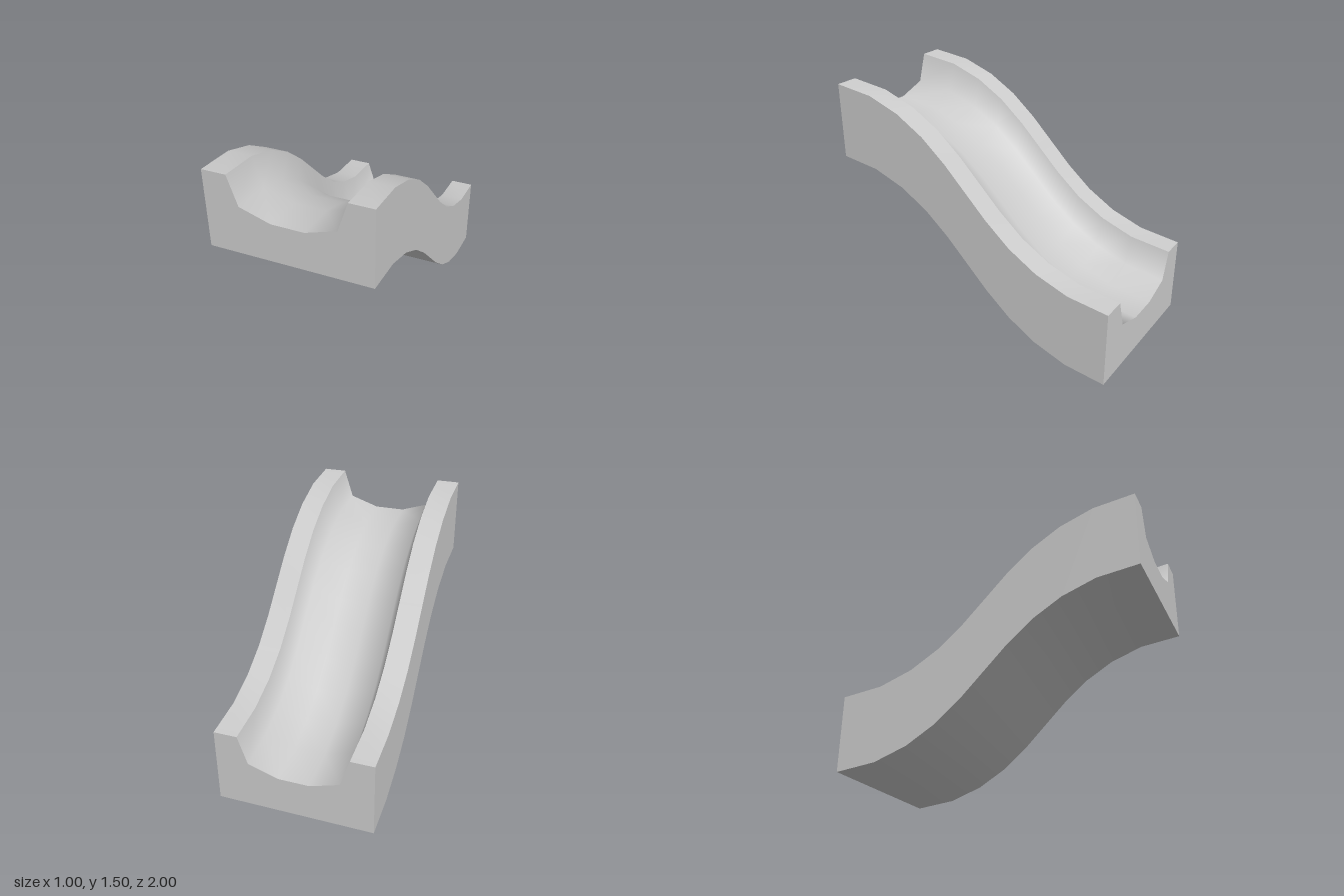
import * as THREE from 'three';
import { toCreasedNormals } from 'three/addons/utils/BufferGeometryUtils.js';

// Half of the S-shaped slope as [z, rise above middle]; the other half is its point mirror
const HALF = [[0, 0], [0.15, 0.147], [0.32, 0.287], [0.51, 0.397], [0.73, 0.472], [1, 0.5]];
const PATH = [...HALF.slice(1).reverse().map(([z, y]) => [-z, -y]), ...HALF];

// Right half of the trough in the cross-section, from rim to floor
const TROUGH = [[0.35, 0.5], [0.29, 0.313], [0.1, 0.25]];

export function createModel() {
  const group = new THREE.Group();
  group.name = 'slide';

  // Block cross-section with the trough cut into its top
  const section = new THREE.Shape([
    [-0.5, 0], [0.5, 0], [0.5, 0.5],
    ...TROUGH,
    ...TROUGH.map(([x, y]) => [-x, y]).reverse(),
    [-0.5, 0.5],
  ].map(([x, y]) => new THREE.Vector2(x, y)));

  // Straight extrusion, one step per path segment
  const steps = PATH.length - 1;
  const geometry = new THREE.ExtrudeGeometry(section, { depth: steps, steps, bevelEnabled: false });

  // Shift each cross-section onto the slope
  const pos = geometry.attributes.position;
  for (let i = 0; i < pos.count; i++) {
    const [z, rise] = PATH[Math.round(pos.getZ(i))];
    pos.setY(i, pos.getY(i) + 0.5 + rise);
    pos.setZ(i, z);
  }

  // Smooth along the slope and inside the trough, sharp at rims and ends
  const chute = new THREE.Mesh(
    toCreasedNormals(geometry, THREE.MathUtils.degToRad(60)),
    new THREE.MeshStandardMaterial({ color: 0xcccccc }),
  );
  chute.name = 'chute';
  group.add(chute);
  return group;
}
